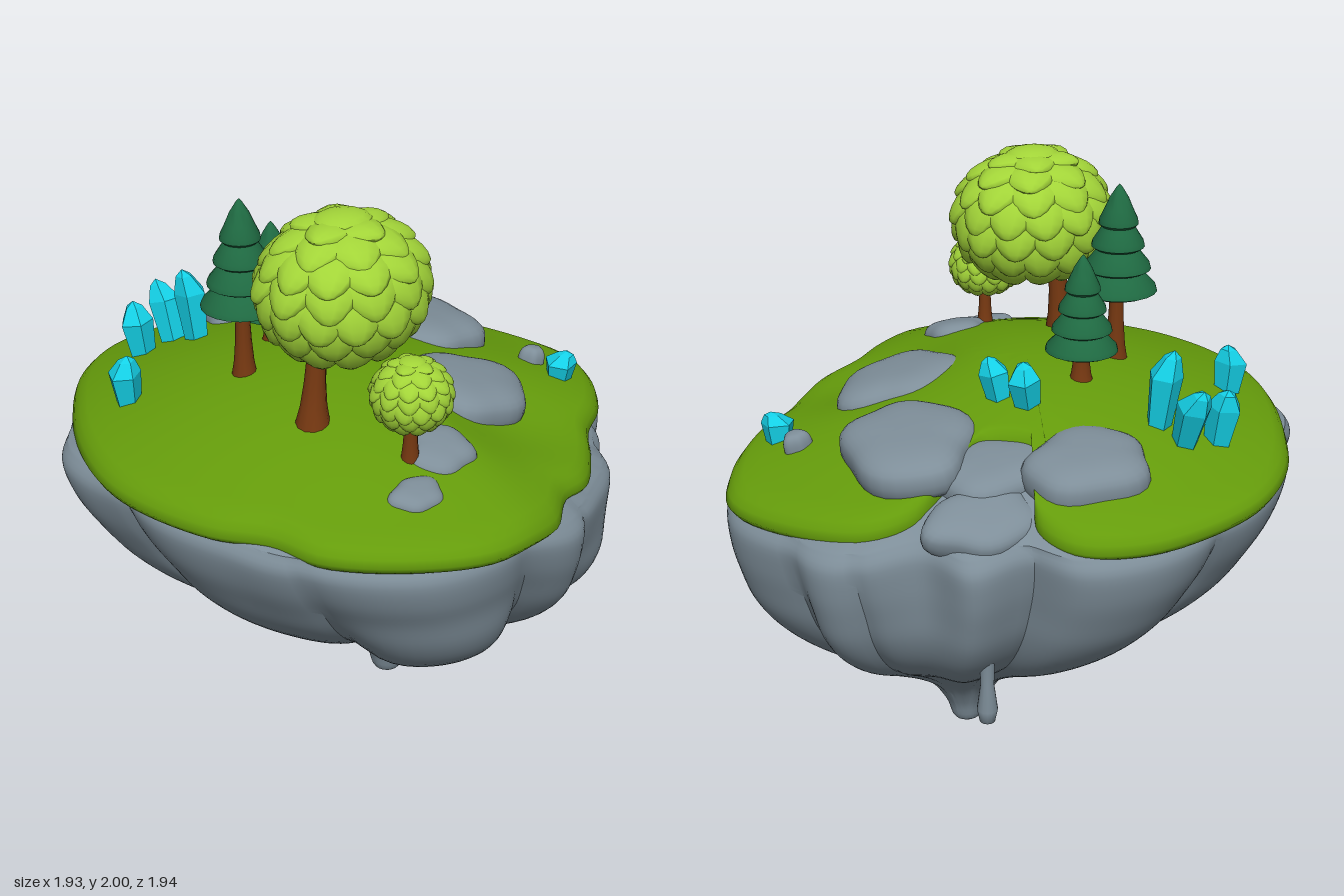
import * as THREE from 'three';
import { mergeGeometries, mergeVertices, toCreasedNormals } from 'three/addons/utils/BufferGeometryUtils.js';

const V2 = (x, y) => new THREE.Vector2(x, y);
const V3 = (x, y, z) => new THREE.Vector3(x, y, z);
const { lerp, smoothstep, radToDeg, degToRad } = THREE.MathUtils;
const paint = (name, color) => {
  const m = new THREE.MeshStandardMaterial({ color });
  m.name = name;
  return m;
};

// Surface swept round in loops: fn(row, u) gives a point, u running 0..1 from +x towards +z
function loops(rows, cols, fn, crease) {
  const pos = [], idx = [];
  for (let i = 0; i <= rows; i++) for (let j = 0; j < cols; j++) pos.push(...fn(i, j / cols).toArray());
  for (let i = 0; i < rows; i++) for (let j = 0; j < cols; j++) {
    const k = (j + 1) % cols, a = i * cols + j, b = i * cols + k, c = a + cols, d = b + cols;
    idx.push(a, b, c, b, d, c);
  }
  let g = new THREE.BufferGeometry();
  g.setAttribute('position', new THREE.Float32BufferAttribute(pos, 3));
  g.setIndex(idx);
  g = mergeVertices(g, 1e-5);
  if (crease) return toCreasedNormals(g, crease);
  g.computeVertexNormals();
  return g;
}

// Height of the hilltop, with a valley and a lower rim at the front right
function ground(x, z) {
  const q = Math.min(1, Math.hypot(x / 0.96, z / 0.97));
  const valley = 0.08 * Math.exp(-((x - 0.3) ** 2 + (z - 0.5) ** 2) / 0.08) * (1 - q) * 2;
  const dip = 0.045 * smoothstep(x, -0.1, 0.2) * (1 - smoothstep(x, 0.45, 0.95)) * smoothstep(z, 0.1, 0.6) * q * q;
  return 1.14 - 0.065 * x + 0.235 * (1 - q * q) ** 1.2 - 0.2 * Math.max(0, x) * (1 - q) - valley - dip;
}

const outline = (pts) => new THREE.CatmullRomCurve3(pts.map(([x, z]) => V3(x, 0, z)), true);
const grassEdge = outline([[0.965, 0], [0.9, 0.2], [0.75, 0.39], [0.6, 0.5], [0.5, 0.62], [0.36, 0.75], [0.22, 0.8],
  [0.08, 0.91], [-0.2, 0.965], [-0.45, 0.88], [-0.66, 0.72], [-0.74, 0.56], [-0.86, 0.4], [-0.95, 0.15], [-0.965, -0.05],
  [-0.91, -0.3], [-0.8, -0.54], [-0.65, -0.76], [-0.45, -0.91], [-0.2, -0.97], [0.02, -0.96], [0.19, -0.88],
  [0.25, -0.75], [0.2, -0.65], [0.1, -0.52], [0.24, -0.36], [0.4, -0.45], [0.55, -0.51], [0.7, -0.47], [0.86, -0.28]]);
const rockEdge = outline([[0.945, 0], [0.88, 0.22], [0.74, 0.41], [0.64, 0.5], [0.58, 0.62], [0.4, 0.75], [0.22, 0.87],
  [0, 0.91], [-0.2, 0.92], [-0.45, 0.86], [-0.73, 0.65], [-0.84, 0.4], [-0.92, 0.15], [-0.94, -0.1], [-0.93, -0.38],
  [-0.77, -0.6], [-0.62, -0.74], [-0.42, -0.87], [-0.2, -0.94], [0, -0.95], [0.2, -0.9], [0.32, -0.78], [0.48, -0.74],
  [0.56, -0.58], [0.76, -0.5], [0.86, -0.33]]);

function grassGeometry() {
  const rings = [];
  for (let i = 0; i <= 16; i++) rings.push([i / 16 * 0.94, 0]);
  rings.push([0.97, 0.01], [0.99, 0.03], [1, 0.055], [0.985, 0.078], [0.93, 0.088]);
  return loops(rings.length - 1, 160, (i, u) => {
    const [t, drop] = rings[i], p = grassEdge.getPoint(u);
    const x = -0.1 + (p.x + 0.1) * t, z = p.z * t;
    return V3(x, ground(x, z) - drop, z);
  });
}

// Underside: rounded cone split into vertical lobes that twist a little, with overhanging slabs
function rockGeometry() {
  const profile = new THREE.SplineCurve([[0.96, 1], [0.995, 0.95], [0.98, 0.86], [0.94, 0.77], [0.88, 0.67],
    [0.78, 0.57], [0.64, 0.475], [0.45, 0.38], [0.28, 0.285], [0.15, 0.19], [0.08, 0.095], [0.05, 0.02],
    [0, 0]].map((p) => V2(...p)));
  const seams = [-150, -108, -70, -33, -18, 32, 42, 72, 94, 138, 180, 210];
  const bump = (deg) => {
    const k = seams.findIndex((s, i) => deg >= s && deg < seams[i + 1]);
    return Math.sin(Math.PI * (deg - seams[k]) / (seams[k + 1] - seams[k])) ** 0.6;
  };
  const slabs = [[115, 20, 0.43, 0.09], [55, 15, 0.45, 0.05]];
  const cap = 12, side = 52;
  return loops(cap + side, 200, (i, u) => {
    const p = rockEdge.getPoint(u);
    if (i < cap) {
      const t = i / cap * 0.95;
      return V3(p.x * t, ground(p.x * t, p.z * t) - 0.045, p.z * t);
    }
    const v = (i - cap) / side, s = profile.getPoint(v), a = Math.atan2(p.z, p.x);
    const y = s.y * (ground(p.x, p.z) - 0.065);
    const deg = radToDeg(a) < -150 ? radToDeg(a) + 360 : radToDeg(a);
    let f = s.x * (1.02 - (0.015 + 0.08 * Math.sin(Math.PI * Math.min(1, v * 1.15))) * (1 - bump(deg)));
    for (const [mid, half, low, out] of slabs) {
      const w = Math.max(0, 1 - ((deg - mid) / half) ** 4);
      f += out * w * smoothstep(y, low - 0.02, low + 0.02) * (1 - smoothstep(y, low + 0.1, 0.9));
    }
    const round = smoothstep(v, 0.1, 0.8), twist = degToRad(-4 * Math.sin(3 * v));
    const x = lerp(p.x, Math.cos(a) * 0.95, round) * f, z = lerp(p.z, Math.sin(a) * 0.95, round) * f;
    const c = Math.cos(twist), n = Math.sin(twist);
    return V3(x * c - z * n + 0.13 * smoothstep(v, 0, 0.75), y, x * n + z * c);
  }, 0.6);
}

// Smooth stone with a flattened top and an uneven, many-cornered outline
function stoneGeometry(seed) {
  return loops(16, 36, (i, u) => {
    const phi = i / 16 * Math.PI, a = u * Math.PI * 2, c = Math.cos(phi);
    const r = Math.sin(phi) ** 0.6
      * (1 + 0.06 * Math.sin(2 * a + seed) + 0.05 * Math.sin(3 * a + seed * 2) + 0.05 * Math.cos(5 * a + seed));
    return V3(Math.cos(a) * r, Math.sign(c) * Math.abs(c) ** 0.75, Math.sin(a) * r);
  });
}

// Ball of overlapping leaves hanging like scales, radius about 1
function crownGeometry() {
  const leaf = new THREE.SphereGeometry(1, 10, 8), p = leaf.attributes.position;
  for (let i = 0; i < p.count; i++) p.setX(i, p.getX(i) * (1 + 0.3 * p.getY(i)));
  leaf.computeVertexNormals();
  const tuft = new THREE.SphereGeometry(1, 12, 8).scale(0.35, 0.14, 0.35).translate(0, 0.9, 0);
  const parts = [new THREE.SphereGeometry(0.9, 24, 16), tuft], o = new THREE.Object3D();
  for (let row = 0; row < 7; row++) {
    const phi = 0.3 + row * 0.33, n = Math.max(5, Math.round(13 * Math.sin(phi)));
    for (let k = 0; k < n; k++) {
      const wob = Math.sin(k * 7 + row * 3), a = (k + (row % 2) / 2 + 0.14 * wob) / n * Math.PI * 2;
      const d = V3(Math.sin(phi) * Math.cos(a), Math.cos(phi), Math.sin(phi) * Math.sin(a));
      o.position.copy(d).multiplyScalar(0.87);
      o.lookAt(d.multiplyScalar(2));
      o.rotateX(-0.25 - 0.08 * wob);
      o.scale.set(0.31, 0.34, 0.14);
      o.updateMatrix();
      parts.push(leaf.clone().applyMatrix4(o.matrix));
    }
  }
  return mergeGeometries(parts);
}

// Tapered trunk with a flared foot, leaning from one point to another
function trunkGeometry(from, to, r) {
  const foot = [1.5, 1.1, 0.9, 0.8, 0.75, 0.75];
  return loops(5, 12, (i, u) => {
    const a = u * Math.PI * 2, c = from.clone().lerp(to, 1 - i / 5), w = r * foot[5 - i];
    return V3(c.x + Math.cos(a) * w, c.y, c.z + Math.sin(a) * w);
  });
}

// Stacked skirts of a pine, each with a full, drooping hem
function pineGeometry(h, r) {
  const tiers = 4, parts = [];
  for (let i = 0; i < tiers; i++) {
    const w = r * (1 - i * 0.17), y = h * i * 0.205, top = Math.min(h, y + h * 0.42);
    const pts = [[0, y + h * 0.05], [w * 0.85, y], [w, y + h * 0.025], [w * 0.96, y + h * 0.07],
      [w * 0.72, y + h * 0.16], [w * 0.48, y + h * 0.26], [w * 0.15, top - h * 0.03], [0, top]].map((q) => V2(...q));
    parts.push(new THREE.LatheGeometry(pts, 20));
  }
  return toCreasedNormals(mergeGeometries(parts), 0.8);
}

// Faceted crystal with a blunt, off-centre tip
function crystalGeometry(r, h) {
  const pts = [[0, 0], [r * 0.7, 0], [r, h * 0.7], [r * 0.5, h * 0.92], [0, h]].map((q) => V2(...q));
  const g = new THREE.LatheGeometry(pts, 5).toNonIndexed(), p = g.attributes.position;
  for (let i = 0; i < p.count; i++) p.setX(i, p.getX(i) + 0.35 * r * Math.max(0, p.getY(i) / h - 0.7) / 0.3);
  g.computeVertexNormals();
  return g;
}

export function createModel() {
  const model = new THREE.Group();
  model.name = 'floatingIsland';
  const rock = paint('rock', 0x7e8e99), grass = paint('grass', 0x659c0b), leaves = paint('leaves', 0xa2d438);
  const pine = paint('pine', 0x1f6a42), bark = paint('bark', 0x763811), crystal = paint('crystal', 0x14d0e6);
  const add = (name, geo, mat, x = 0, y = 0, z = 0) => {
    const m = new THREE.Mesh(geo, mat);
    m.name = name;
    m.position.set(x, y, z);
    model.add(m);
    return m;
  };

  add('rockBody', rockGeometry(), rock);
  add('grassTop', grassGeometry(), grass);

  // Hanging rock drip at the back
  const drip = [[0, 0.4], [0.025, 0.415], [0.034, 0.46], [0.022, 0.55], [0.026, 0.7], [0.05, 0.82], [0.06, 0.92], [0, 0.98]];
  add('rockDrip', new THREE.LatheGeometry(drip.map((q) => V2(...q)), 14), rock, 0.36, 0, -0.63);

  // Boulders: centre, half sizes, tilt about x and z, outline seed
  [[0.245, 1.22, 0.25, 0.22, 0.085, 0.215, 0.12, -0.2, 1], [0.435, 1.22, -0.23, 0.21, 0.085, 0.265, -0.03, -0.14, 2.6],
    [0.01, 1.22, -0.625, 0.215, 0.085, 0.18, -0.1, -0.05, 4], [0.24, 1.18, -0.46, 0.21, 0.075, 0.15, -0.1, -0.1, 5],
    [0.37, 1.11, -0.62, 0.18, 0.065, 0.13, -0.35, -0.12, 0.4], [-0.12, 1.24, 0.57, 0.12, 0.065, 0.115, 0.25, 0, 3],
    [-0.3, 1.21, 0.69, 0.09, 0.045, 0.075, 0.25, 0, 2], [0.69, 1.15, 0.1, 0.045, 0.055, 0.045, 0, -0.2, 1.5],
  ].forEach(([x, y, z, a, b, c, rx, rz, seed]) => {
    const m = add('boulder', stoneGeometry(seed), rock, x, y, z);
    m.scale.set(a, b, c);
    m.rotation.set(rx, 0, rz);
  });

  // Leafy trees
  const crown = crownGeometry();
  add('largeTrunk', trunkGeometry(V3(-0.39, 1.31, 0.28), V3(-0.36, 1.68, 0.28), 0.039), bark);
  add('largeCrown', crown, leaves, -0.27, 1.755, 0.28).scale.set(0.28, 0.237, 0.25);
  add('smallTrunk', trunkGeometry(V3(-0.23, 1.23, 0.57), V3(-0.235, 1.48, 0.58), 0.026), bark);
  add('smallCrown', crown, leaves, -0.235, 1.5, 0.58).scale.set(0.127, 0.117, 0.127);

  // Pines: x, z, bottom of skirts, skirt height, radius
  [[-0.39, -0.1, 1.58, 0.37, 0.135], [-0.18, -0.24, 1.45, 0.33, 0.12]].forEach(([x, z, y, h, r]) => {
    add('pineTrunk', trunkGeometry(V3(x, ground(x, z) - 0.03, z), V3(x, y + 0.1, z), 0.03), bark);
    add('pineSkirts', pineGeometry(h, r), pine, x, y, z);
  });

  // Crystals: x, z, tip height, radius, lean about x and z
  [[-0.7, -0.32, 1.41, 0.057, 0, 0.1], [-0.46, -0.63, 1.42, 0.059, -0.1, 0.1], [-0.34, -0.62, 1.47, 0.058, -0.33, 0],
    [-0.3, -0.53, 1.54, 0.057, -0.1, 0.05], [0.045, -0.3, 1.48, 0.055, -0.1, -0.2], [0.1, -0.21, 1.47, 0.052, 0.1, -0.15],
    [0.71, 0.22, 1.23, 0.058, 0.1, 0]].forEach(([x, z, tip, r, rx, rz], i) => {
    const y = ground(x, z) - 0.04;
    add('crystal', crystalGeometry(r, tip - y), crystal, x, y, z).rotation.set(rx, i, rz, 'XZY');
  });
  return model;
}
